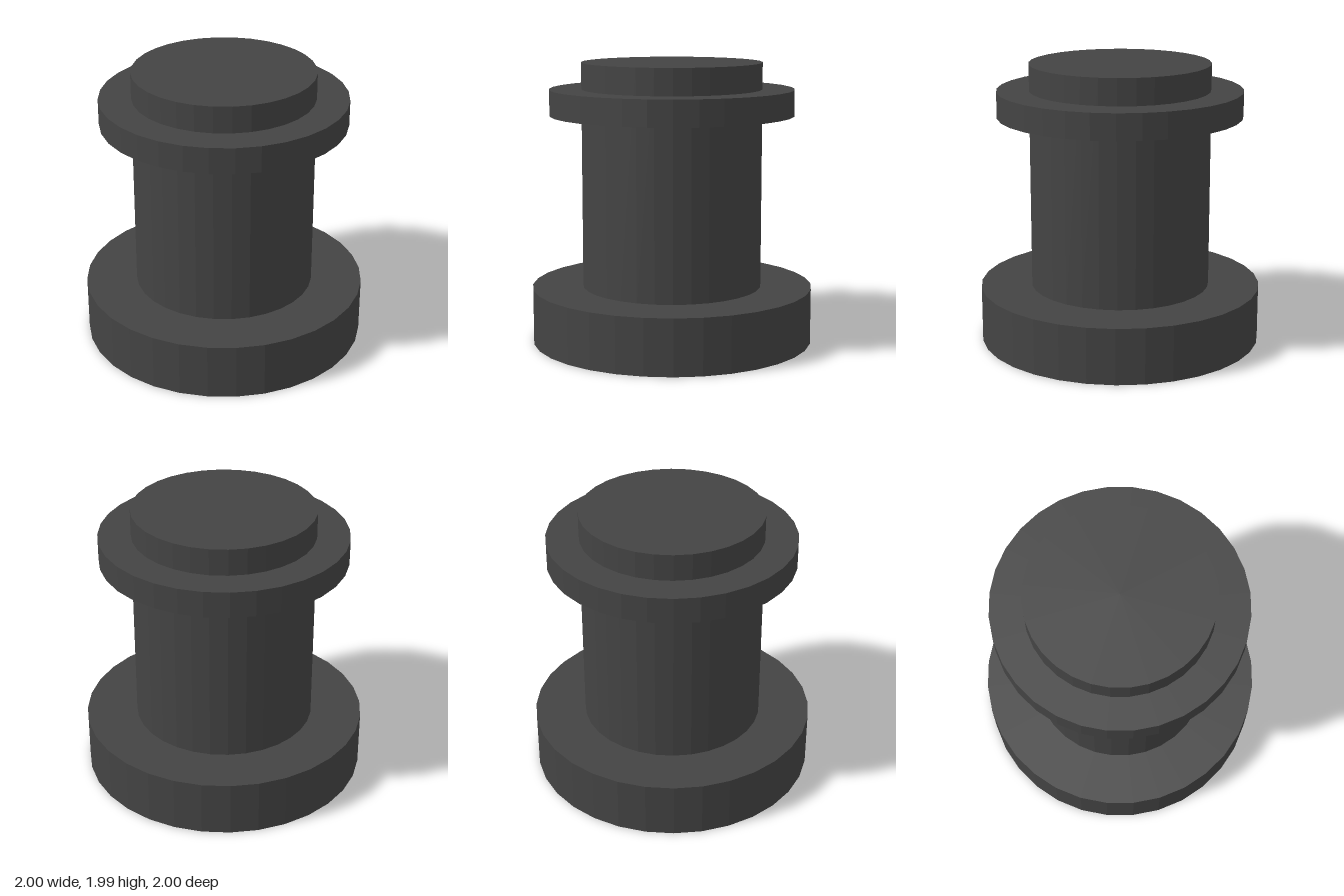
import * as THREE from 'three';

const SIDES = 32;

export function createModel() {
  const group = new THREE.Group();
  const material = new THREE.MeshStandardMaterial({ color: 0x444444, flatShading: true });

  // Upright faceted disc or post between two heights
  function addCylinder(name, radius, bottom, top) {
    const geometry = new THREE.CylinderGeometry(radius, radius, top - bottom, SIDES);
    const mesh = new THREE.Mesh(geometry, material);
    mesh.name = name;
    mesh.position.y = (bottom + top) / 2;
    group.add(mesh);
  }

  addCylinder('base', 1, 0, 0.395);
  addCylinder('column', 0.638, 0.395, 1.99);
  addCylinder('collar', 0.865, 1.62, 1.803);

  return group;
}
